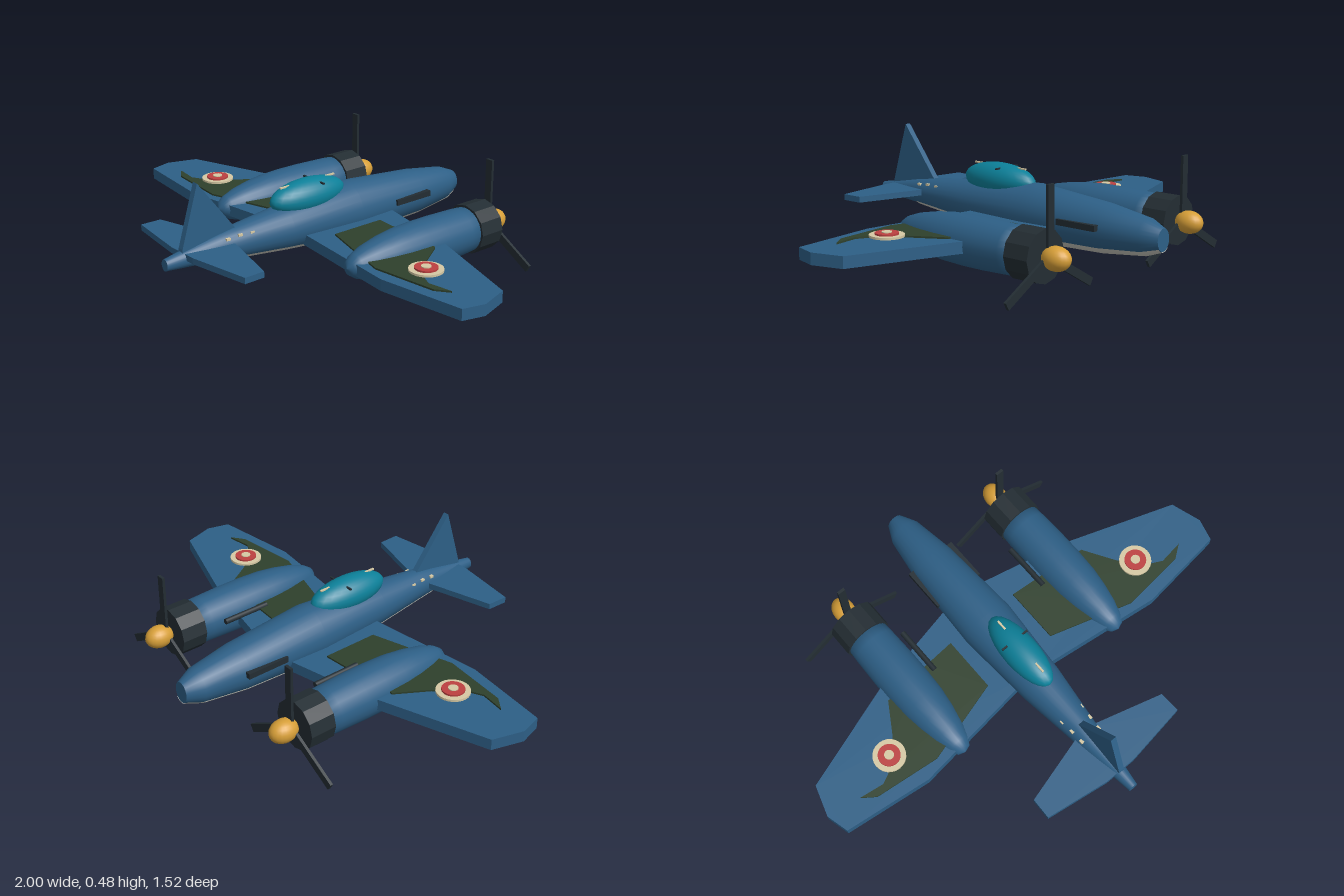
import * as THREE from 'three';

const mat = (name, color) => {
  const m = new THREE.MeshStandardMaterial({ color });
  m.name = name;
  return m;
};

// Skin through elliptical sections [z, centreY, radiusX, radiusY]; angles run from the belly towards +x
function loft(sections, a0, a1, seg, grow = 0) {
  const pos = [], idx = [];
  for (const [z, y, rx, ry] of sections) {
    for (let i = 0; i <= seg; i++) {
      const a = a0 + ((a1 - a0) * i) / seg;
      pos.push((rx + grow) * Math.sin(a), y - (ry + grow) * Math.cos(a), z);
    }
  }
  for (let j = 0; j < sections.length - 1; j++) {
    for (let i = 0; i < seg; i++) {
      const p = j * (seg + 1) + i, q = p + seg + 1;
      idx.push(p, p + 1, q, p + 1, q + 1, q);
    }
  }
  const g = new THREE.BufferGeometry();
  g.setAttribute('position', new THREE.Float32BufferAttribute(pos, 3));
  g.setIndex(idx);
  g.computeVertexNormals();
  return g;
}

// Flat slab from an outline of [x, z] points
function slab(points, top, thick) {
  const shape = new THREE.Shape(points.map(([x, z]) => new THREE.Vector2(x, z)));
  return new THREE.ExtrudeGeometry(shape, { depth: thick, bevelEnabled: false })
    .rotateX(Math.PI / 2).translate(0, top, 0);
}

// Completes a half outline with its mirror image
const mirrored = (half) => [...half, ...half.slice().reverse().map(([x, z]) => [-x, z])];

export function createModel() {
  const blue = mat('blue paint', 0x2d5f86);
  const dark = mat('dark metal', 0x232d33);
  const green = mat('camouflage green', 0x2e402c);
  const gold = mat('spinner gold', 0xd79f38);
  const grey = mat('belly grey', 0xc4c4bb);
  const teal = mat('canopy teal', 0x0c8099);
  const cream = mat('cream', 0xd6c9a4);
  const red = mat('red', 0xbd4040);
  grey.side = THREE.DoubleSide;

  const model = new THREE.Group();
  const add = (name, geo, material, x = 0, y = 0, z = 0, parent = model) => {
    const m = new THREE.Mesh(geo, material);
    m.name = name;
    m.position.set(x, y, z);
    parent.add(m);
    return m;
  };
  const box = (w, h, d) => new THREE.BoxGeometry(w, h, d);

  // Fuselage with flat ends
  const body = [
    [-0.76, 0.175, 0.036, 0.045], [-0.69, 0.178, 0.07, 0.072], [-0.5, 0.183, 0.098, 0.097],
    [-0.14, 0.194, 0.116, 0.118], [0.2, 0.195, 0.092, 0.09], [0.45, 0.195, 0.06, 0.064],
    [0.52, 0.194, 0.053, 0.055], [0.76, 0.182, 0.02, 0.024],
  ];
  add('fuselage', loft(body, 0, Math.PI * 2, 24), blue);
  add('noseCap', new THREE.CircleGeometry(1, 24).scale(0.036, 0.045, 1).rotateY(Math.PI), blue, 0, 0.175, -0.76);
  add('tailCap', new THREE.CircleGeometry(1, 24).scale(0.02, 0.024, 1), blue, 0, 0.182, 0.76);
  add('belly', loft(body.slice(0, 7), -0.84, 0.84, 12, 0.003), grey);

  // Wings and tail surfaces
  add('wings', slab(mirrored([
    [0, -0.33], [0.48, -0.225], [0.96, -0.06], [1, 0.07], [0.975, 0.165], [0.6, 0.21], [0, 0.135],
  ]), 0.173, 0.047), blue);
  add('tailplane', slab(mirrored([
    [0, 0.455], [0.34, 0.55], [0.343, 0.64], [0.07, 0.68], [0, 0.68],
  ]), 0.213, 0.025), blue);
  const finShape = new THREE.Shape([[-0.4, 0.2], [-0.69, 0.2], [-0.685, 0.23], [-0.61, 0.478], [-0.44, 0.26]]
    .map(([x, y]) => new THREE.Vector2(x, y)));
  add('fin', new THREE.ExtrudeGeometry(finShape, { depth: 0.026, bevelEnabled: false })
    .translate(0, 0, -0.013).rotateY(Math.PI / 2), blue);

  // Canopy and its frame bars
  add('canopy', new THREE.SphereGeometry(1, 24, 16).scale(0.072, 0.07, 0.185), teal, 0, 0.302, 0.065);
  add('canopyRail', box(0.008, 0.006, 0.28), cream, 0, 0.359, 0.065);
  add('canopyHoop', box(0.13, 0.006, 0.008), dark, 0, 0.356, 0.03);

  // Shared engine geometry
  const nacelleGeo = new THREE.LatheGeometry([
    [0, -0.48], [0.09, -0.47], [0.096, -0.38], [0.1, -0.25], [0.1, -0.15], [0.096, -0.05],
    [0.086, 0.03], [0.07, 0.11], [0.05, 0.17], [0.03, 0.2], [0, 0.212],
  ].map(([r, z]) => new THREE.Vector2(r, z)), 24).rotateX(Math.PI / 2);
  const cowlGeo = new THREE.CylinderGeometry(0.104, 0.104, 0.114, 12).rotateX(Math.PI / 2).toNonIndexed();
  cowlGeo.computeVertexNormals();
  const spinnerGeo = new THREE.SphereGeometry(1, 20, 14).scale(0.047, 0.047, 0.062);
  const bladeGeo = box(0.033, 0.27, 0.012).translate(0, 0.135, 0);
  const disc = (r, h) => new THREE.CylinderGeometry(r, r, h, 24);

  for (const s of [1, -1]) {
    // Engine, cowling and propeller
    const engine = new THREE.Group();
    engine.name = s > 0 ? 'leftEngine' : 'rightEngine';
    engine.position.set(0.412 * s, 0.151, 0);
    model.add(engine);
    add('nacelle', nacelleGeo, blue, 0, 0, 0, engine);
    add('cowling', cowlGeo, dark, 0, 0, -0.48, engine);
    add('spinner', spinnerGeo, gold, 0, 0, -0.588, engine);
    for (let i = 0; i < 3; i++) {
      add('blade', bladeGeo, dark, 0, 0, -0.558, engine).rotation.z = (i * Math.PI * 2) / 3;
    }

    // Camouflage patch
    add('camouflage', slab([
      [0.168, -0.18], [0.3, -0.17], [0.52, -0.15], [0.6, -0.02], [0.69, 0.08], [0.75, 0.11],
      [0.855, 0.095], [0.8, 0.135], [0.52, 0.165], [0.168, 0.06],
    ].map(([x, z]) => [x * s, z]), 0.18, 0.008), green);

    // Wing roundel in stepped discs
    add('roundelOuter', disc(0.068, 0.009), cream, 0.66 * s, 0.184, 0.035);
    add('roundelRing', disc(0.046, 0.007), red, 0.66 * s, 0.192, 0.035);
    add('roundelCentre', disc(0.02, 0.004), cream, 0.66 * s, 0.197, 0.035);

    // Guns on the wing and nose
    add('wingGun', new THREE.CylinderGeometry(0.012, 0.012, 0.21, 10).rotateX(Math.PI / 2), dark, 0.292 * s, 0.18, -0.237);
    add('noseGun', box(0.024, 0.024, 0.19), dark, 0.102 * s, 0.2, -0.425);

    // Small marks beside the fin
    for (const [x, y, z] of [[0.05, 0.236, 0.385], [0.046, 0.237, 0.44], [0.043, 0.232, 0.495]]) {
      add('tailMark', box(0.014, 0.009, 0.018), cream, x * s, y, z);
    }
  }
  return model;
}
